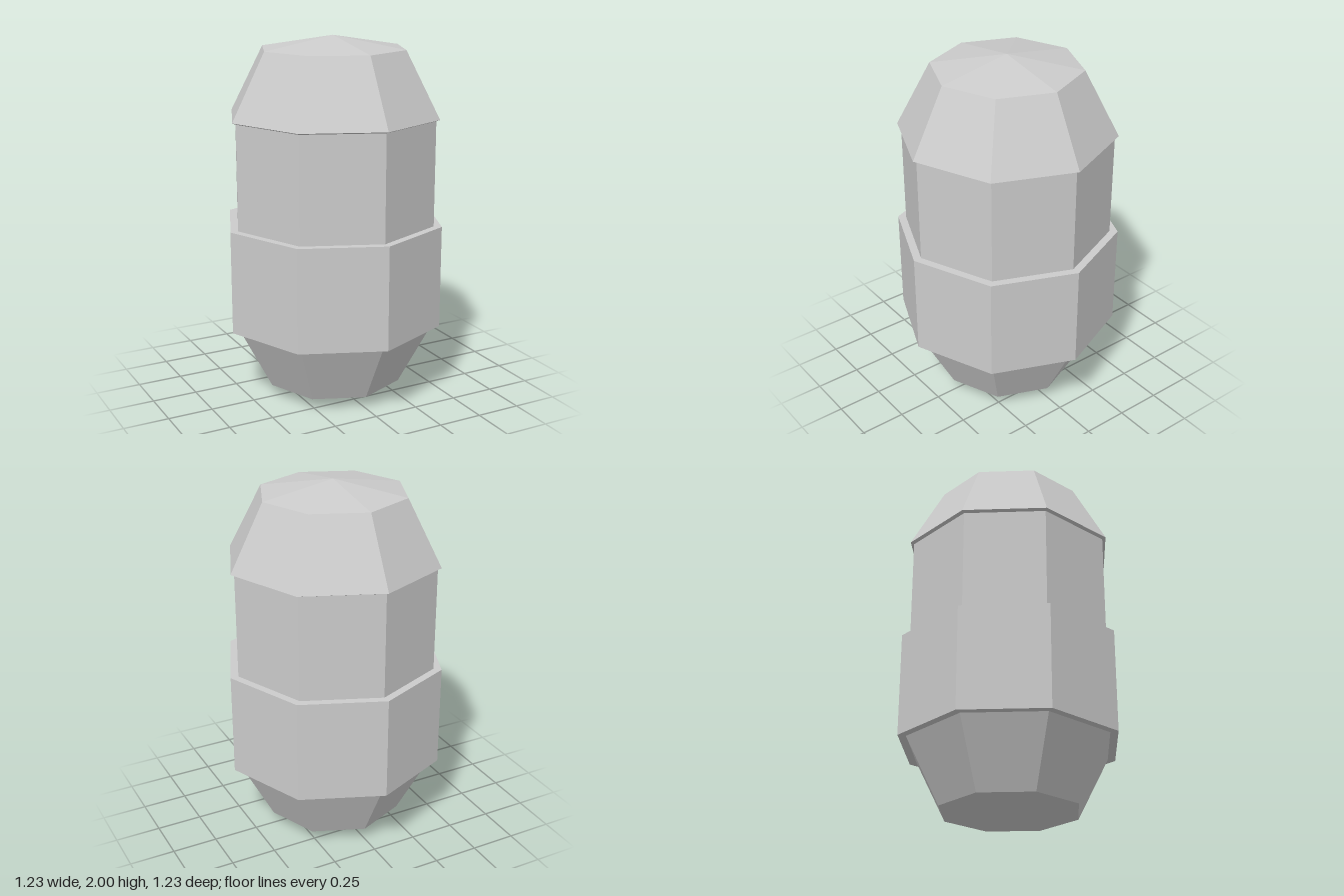
import * as THREE from 'three';

const SIDES = 8;

// Eight-sided solid of revolution, profile listed bottom to top as [radius, y]
function ring(name, profile) {
  const points = profile.map(([r, y]) => new THREE.Vector2(r, y));
  const material = new THREE.MeshStandardMaterial({ color: 0xcccccc, flatShading: true });
  const mesh = new THREE.Mesh(new THREE.LatheGeometry(points, SIDES), material);
  mesh.name = name;
  return mesh;
}

export function createModel() {
  const model = new THREE.Group();
  model.name = 'capsule';

  // Faceted body with a rounded lower end
  model.add(ring('body', [[0, 0], [0.386, 0.067], [0.57, 0.42], [0.57, 1.575]]));

  // Wider band around the lower half, with flat rims
  model.add(ring('band', [[0.57, 0.42], [0.615, 0.42], [0.615, 0.99], [0.57, 0.99]]));

  // Domed cap with a thin overhanging lip
  model.add(ring('cap', [[0.57, 1.565], [0.59, 1.573], [0.402, 1.932], [0, 2]]));

  return model;
}
